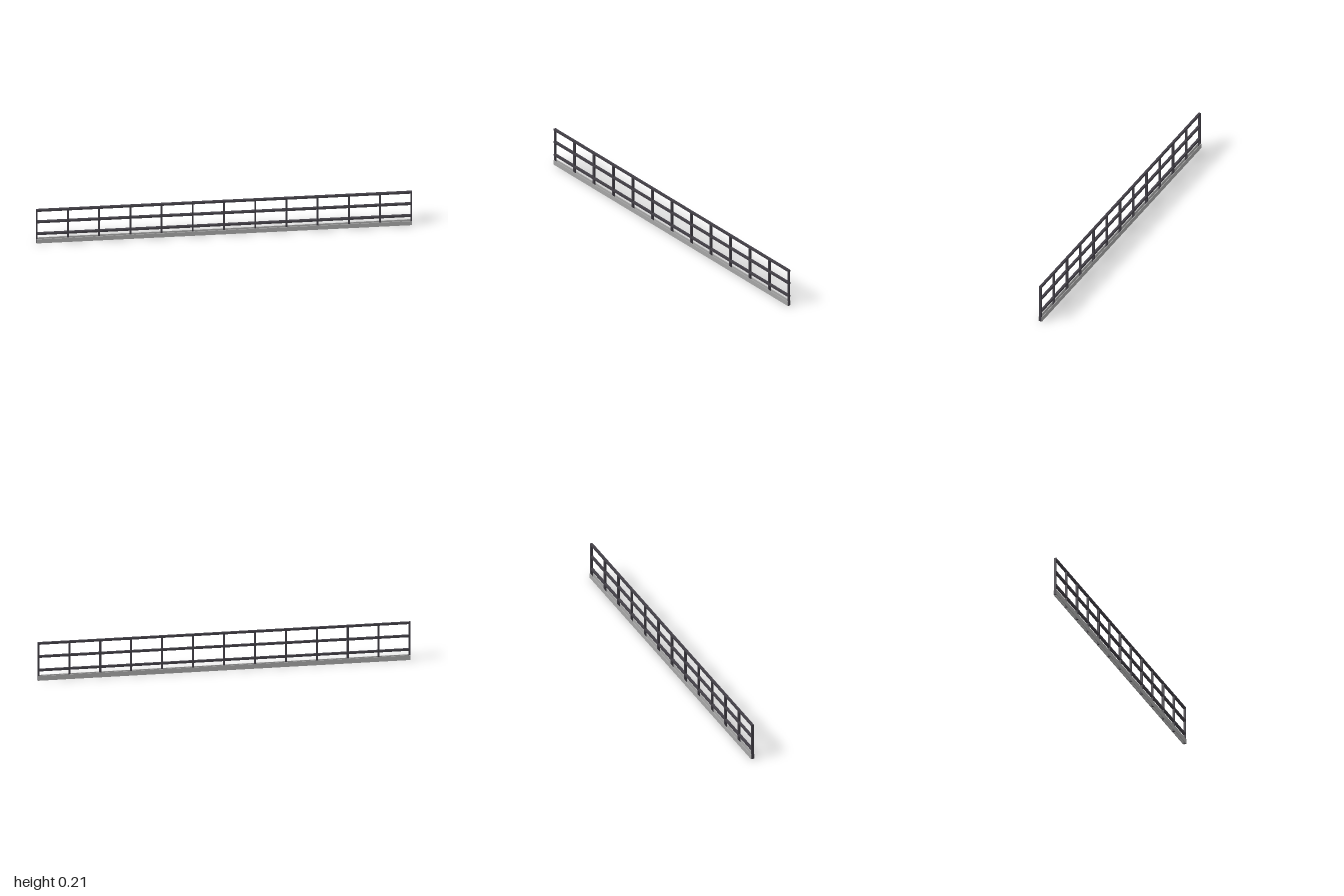
import * as THREE from 'three';

export function createModel() {
  const model = new THREE.Group();
  model.name = 'guardRailing';

  const darkSteel = new THREE.MeshStandardMaterial({ color: 0x434047 });
  darkSteel.name = 'darkSteel';
  const greyMetal = new THREE.MeshStandardMaterial({ color: 0xa6a6a6 });
  greyMetal.name = 'greyMetal';

  const height = 0.214, depth = 0.0125, postWidth = 0.009, railHeight = 0.0115;
  const bays = 12;

  function addBar(name, size, position, material) {
    const bar = new THREE.Mesh(new THREE.BoxGeometry(...size), material);
    bar.name = name;
    bar.position.set(...position);
    model.add(bar);
  }

  // evenly spaced upright posts, the end ones flush with the ends
  for (let i = 0; i <= bays; i++) {
    const x = (i / bays - 0.5) * (2 - postWidth);
    addBar('post', [postWidth, height - 0.001, depth - 0.0006], [x, (height - 0.001) / 2, 0], darkSteel);
  }

  // top, middle and lower rails
  [['topRail', height - railHeight / 2], ['middleRail', 0.134], ['lowerRail', 0.057]].forEach(([name, y]) =>
    addBar(name, [2, railHeight, depth], [0, y, 0], darkSteel));

  // toe boards clamped on both faces of the posts
  const boardThickness = 0.0035;
  for (const side of [1, -1]) {
    addBar(side > 0 ? 'frontToeBoard' : 'backToeBoard', [1.996, 0.026, boardThickness],
      [0, 0.013, side * (depth + boardThickness) / 2], greyMetal);
  }

  return model;
}
